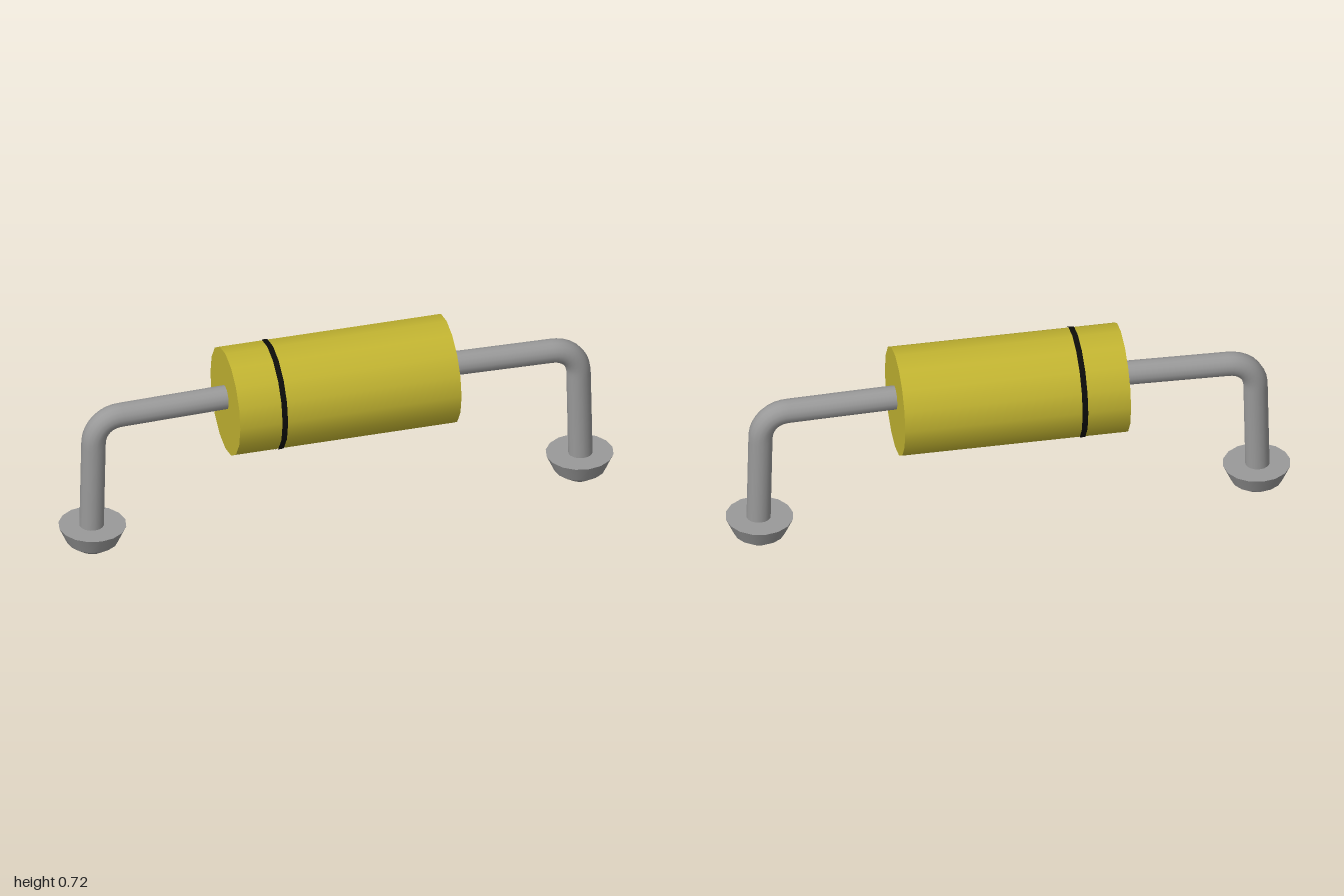
import * as THREE from 'three';

const metal = new THREE.MeshStandardMaterial({ color: 0x999999 });
metal.name = 'grey metal';
const shell = new THREE.MeshStandardMaterial({ color: 0xc2b431 });
shell.name = 'mustard shell';
const black = new THREE.MeshStandardMaterial({ color: 0x0c0c0a });
black.name = 'black band';

const CENTRE_Y = 0.522;

function addMesh(parent, name, geometry, material, x = 0, y = 0) {
  const mesh = new THREE.Mesh(geometry, material);
  mesh.name = name;
  mesh.position.set(x, y, 0);
  parent.add(mesh);
  return mesh;
}

// Bent wire running out of the body and down into its foot
function wireGeometry(side) {
  const p = (x, y) => new THREE.Vector3(side * x, y, 0);
  const path = new THREE.CurvePath();
  path.add(new THREE.LineCurve3(p(0.38, 0.539), p(0.78, 0.53)));
  path.add(new THREE.CubicBezierCurve3(p(0.78, 0.53), p(0.838, 0.529), p(0.876, 0.486), p(0.877, 0.43)));
  path.add(new THREE.LineCurve3(p(0.877, 0.43), p(0.884, 0.08)));
  return new THREE.TubeGeometry(path, 48, 0.043, 16);
}

export function createModel() {
  const model = new THREE.Group();
  model.name = 'axialComponent';

  // Cylindrical body lying along x, with one thin band
  const body = addMesh(model, 'body', new THREE.CylinderGeometry(0.194, 0.194, 0.8, 16), shell, 0, CENTRE_Y);
  body.rotation.z = Math.PI / 2;
  const band = addMesh(model, 'band', new THREE.CylinderGeometry(0.197, 0.197, 0.02, 16, 1, true), black, -0.238, CENTRE_Y);
  band.rotation.z = Math.PI / 2;

  // Mirrored leads and two-step tapered feet
  for (const side of [1, -1]) {
    const lead = new THREE.Group();
    lead.name = side > 0 ? 'leftLead' : 'rightLead';
    model.add(lead);
    addMesh(lead, 'wire', wireGeometry(side), metal);
    addMesh(lead, 'footRim', new THREE.CylinderGeometry(0.119, 0.091, 0.062, 16), metal, side * 0.881, 0.066);
    addMesh(lead, 'footTip', new THREE.CylinderGeometry(0.091, 0.043, 0.035, 16), metal, side * 0.881, 0.0175);
  }
  return model;
}
